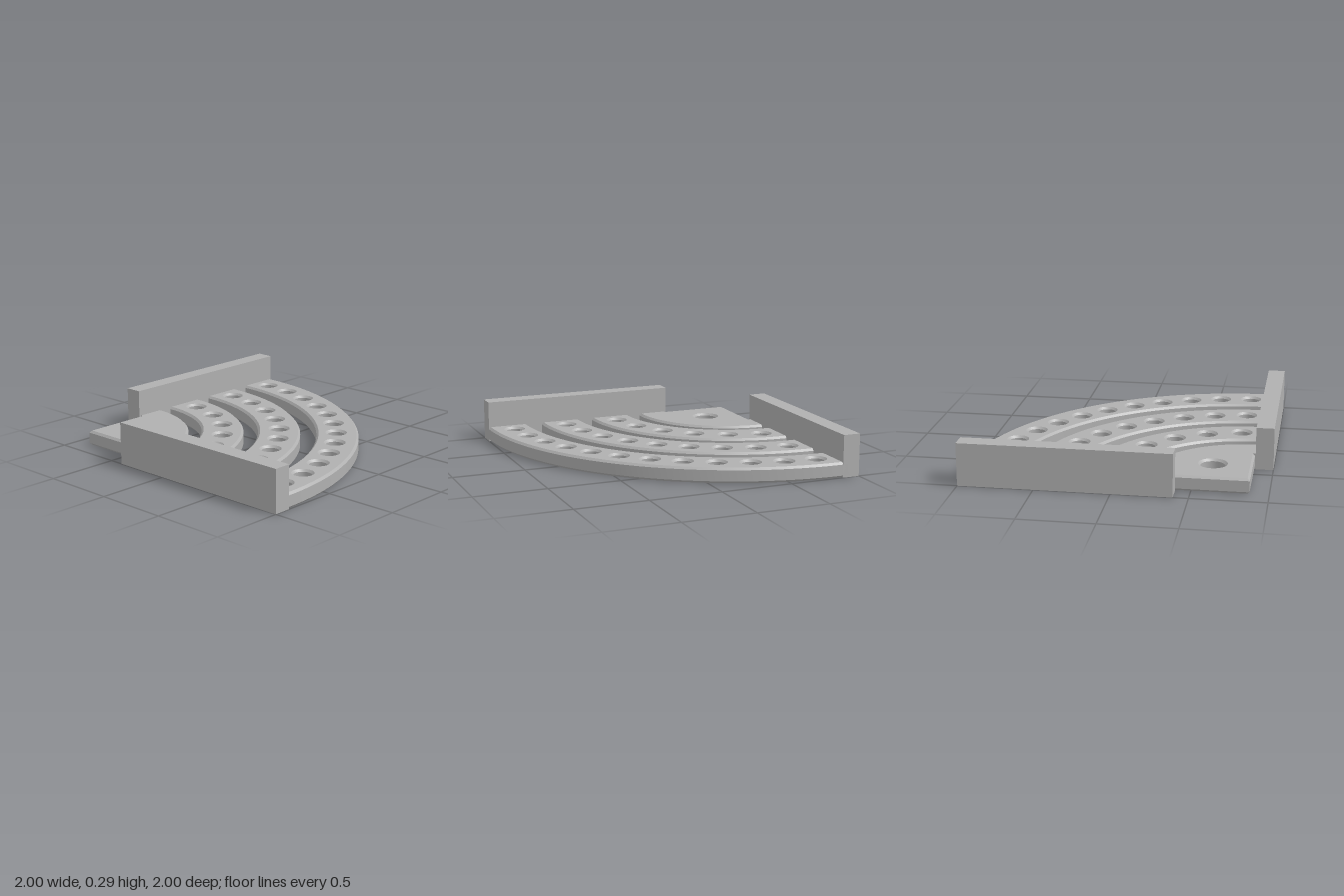
import * as THREE from 'three';
import { mergeGeometries, toCreasedNormals } from 'three/addons/utils/BufferGeometryUtils.js';

const C = -0.875;          // arc centre in x and z
const R = 1.875;           // outer radius
const BEVEL = 0.015, TOP = 0.105, GROOVE = 0.04, HALF_GROOVE = 0.025;
const HOLE = 0.06, WALL = 0.12, WALL_H = 0.29;
const rad = THREE.MathUtils.degToRad;

const polar = (r, a, cx = C, cz = C) => new THREE.Vector2(cx + r * Math.cos(a), cz + r * Math.sin(a));

function arc(r, a0, a1, n, cx, cz) {
  return Array.from({ length: n + 1 }, (_, i) => polar(r, a0 + (a1 - a0) * i / n, cx, cz));
}

// Closed loops in the x/z plane; c is the chamfer offset. Openings run the opposite way to the outline.
const outline = c => [
  [C + c, C + c], [-0.385, C + c], [-0.385, -0.94], [C + R - c, -0.94]
].map(p => new THREE.Vector2(...p)).concat(
  arc(R - c, 0, Math.PI / 2, 64),
  [[-0.94, C + R - c], [-0.94, -0.385], [C + c, -0.385]].map(p => new THREE.Vector2(...p)));

const slot = (r1, r2) => c => [
  ...arc(r1 - c, rad(-1), rad(91), 48), ...arc(r2 + c, rad(91), rad(-1), 48)];

const circle = (p, r) => c => arc(r + c, 2 * Math.PI, 0, 32, p.x, p.y).slice(0, -1);

// A row of holes joined by narrow channels
const beads = (ringR, angles) => c => {
  const r = HOLE + c, gap = Math.asin(HALF_GROOVE / r), last = angles.length - 1;
  const inner = [], outer = [];
  angles.forEach((a, i) => {
    const p = polar(ringR, a), t = a + Math.PI / 2;   // t points to the next hole
    const start = i === 0 ? t + Math.PI : t + Math.PI + gap;
    const end = i === last ? t + 2 * Math.PI : t + 2 * Math.PI - gap;
    outer.push(...arc(r, start, end, 14, p.x, p.y));
    const s2 = i === last ? t : t + gap, e2 = i === 0 ? t + Math.PI : t + Math.PI - gap;
    inner.unshift(...arc(r, s2, e2, 14, p.x, p.y));
  });
  return [...outer, ...inner.slice(1, -1)].reverse();
};

function cap(loop, holes, y, up) {
  const shape = new THREE.Shape(loop);
  shape.holes = holes.map(h => new THREE.Path(h));
  const g = new THREE.ShapeGeometry(shape).rotateX(Math.PI / 2).translate(0, y, 0).toNonIndexed();
  const pos = g.attributes.position;
  if (up) {
    const a = new THREE.Vector3(), b = new THREE.Vector3();
    for (let i = 0; i < pos.count; i += 3) {
      a.fromBufferAttribute(pos, i + 1);
      b.fromBufferAttribute(pos, i + 2);
      pos.setXYZ(i + 1, b.x, b.y, b.z);
      pos.setXYZ(i + 2, a.x, a.y, a.z);
    }
  }
  return new THREE.BufferGeometry().setAttribute('position', pos);
}

// Side surface through levels of [height, chamfer offset]
function sides(loop, levels) {
  const v = [];
  for (let k = 0; k + 1 < levels.length; k++) {
    const [y0, c0] = levels[k], [y1, c1] = levels[k + 1];
    const A = loop(c0), B = loop(c1);
    A.forEach((a, i) => {
      const j = (i + 1) % A.length, a2 = A[j], b = B[i], b2 = B[j];
      v.push(a.x, y0, a.y, b2.x, y1, b2.y, a2.x, y0, a2.y);
      v.push(a.x, y0, a.y, b.x, y1, b.y, b2.x, y1, b2.y);
    });
  }
  return new THREE.BufferGeometry().setAttribute('position', new THREE.Float32BufferAttribute(v, 3));
}

function plateGeometry() {
  const full = [[0, BEVEL], [BEVEL, 0], [TOP - BEVEL, 0], [TOP, BEVEL]];
  const low = [[0, BEVEL], [BEVEL, 0], [GROOVE, 0]];
  const high = [[GROOVE, 0], [TOP - BEVEL, 0], [TOP, BEVEL]];
  const through = [slot(0.69, 0.782), slot(1.075, 1.177), slot(1.471, 1.583),
    circle(new THREE.Vector2(-0.616, -0.616), 0.082)];
  const rows = [[0.933, 6], [1.325, 9], [1.72, 12]].map(([r, n]) => {
    const angles = Array.from({ length: n }, (_, i) => rad(90 / n * (i + 0.5)));
    return { row: beads(r, angles), holes: angles.map(a => circle(polar(r, a), HOLE)) };
  });
  const holes = rows.flatMap(r => r.holes);
  const at = (loops, c) => loops.map(l => l(c));
  const parts = [
    cap(outline(BEVEL), at([...through, ...holes], BEVEL), TOP, true),
    cap(outline(BEVEL), at([...through, ...rows.map(r => r.row)], BEVEL), 0, false),
    ...[outline, ...through].map(l => sides(l, full)),
    ...holes.map(l => sides(l, high)),
    ...rows.map(r => sides(r.row, low)),
    ...rows.map(r => cap(r.row(0), at(r.holes, 0), GROOVE, false))   // channel roofs
  ];
  return toCreasedNormals(mergeGeometries(parts), 0.5);
}

export function createModel() {
  const group = new THREE.Group();
  const grey = new THREE.MeshStandardMaterial({ color: 0xb0b0b0 });
  grey.name = 'grey';

  const add = (name, geometry, x = 0, y = 0, z = 0) => {
    const mesh = new THREE.Mesh(geometry, grey);
    mesh.name = name;
    mesh.position.set(x, y, z);
    group.add(mesh);
  };

  // Quarter-round plate with slots and rows of holes
  add('quarterPlate', plateGeometry());

  // Upright walls along the two straight edges
  add('backWall', new THREE.BoxGeometry(1.4, WALL_H, WALL), 0.3, WALL_H / 2, -1 + WALL / 2);
  add('sideWall', new THREE.BoxGeometry(WALL, WALL_H, 1.4), -1 + WALL / 2, WALL_H / 2, 0.3);
  return group;
}
